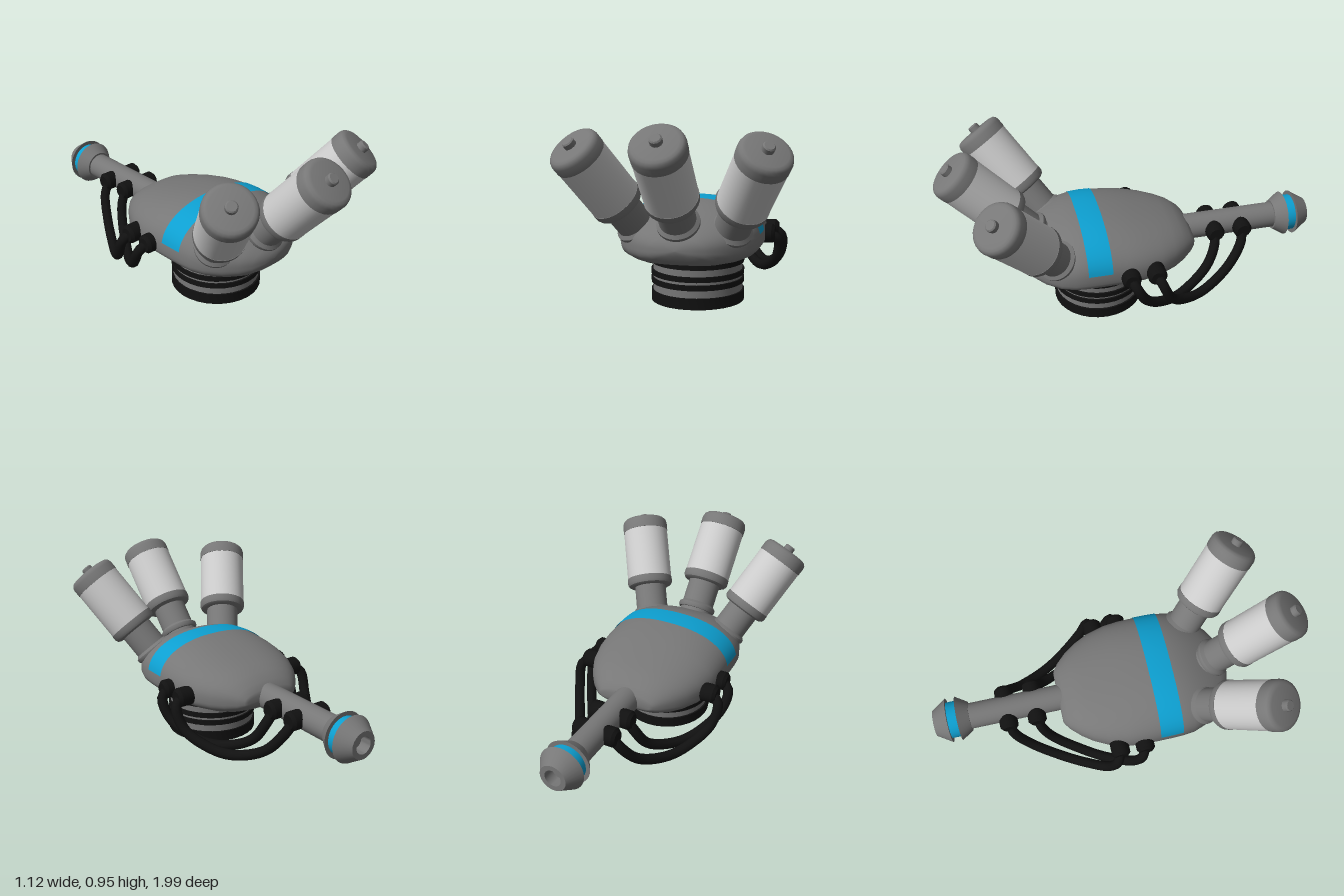
import * as THREE from 'three';
import { toCreasedNormals } from 'three/addons/utils/BufferGeometryUtils.js';

const mat = (color) => new THREE.MeshStandardMaterial({ color, side: THREE.DoubleSide });

export function createModel() {
  const model = new THREE.Group();
  const light = mat(0xcccccc), grey = mat(0x777777), black = mat(0x111111), blue = mat(0x0d9fd0);

  const add = (name, geometry, material, parent = model) => {
    const mesh = new THREE.Mesh(geometry, material);
    mesh.name = name;
    parent.add(mesh);
    return mesh;
  };
  // Turned part from [radius, height] pairs, listed bottom to top
  const turned = (profile, sides = 32) => toCreasedNormals(
    new THREE.LatheGeometry(profile.map(([r, y]) => new THREE.Vector2(r, y)), sides), 0.6);
  const disc = (r, y0, y1) => [[0, y0], [r, y0], [r, y1], [0, y1]];

  // Hull stations, front to back: [z, half width, top, bottom]
  const MID = 0.335;
  const stations = [
    [0.613, 0, 0.335, 0.335], [0.61, 0.07, 0.37, 0.31], [0.59, 0.14, 0.395, 0.28], [0.555, 0.2, 0.425, 0.257],
    [0.5, 0.265, 0.46, 0.243], [0.43, 0.32, 0.498, 0.237], [0.36, 0.346, 0.525, 0.235],
    [0.295, 0.353, 0.54, 0.235], [0.23, 0.355, 0.545, 0.235], [0.17, 0.355, 0.542, 0.235],
    [0.08, 0.355, 0.53, 0.235], [0, 0.347, 0.515, 0.235], [-0.1, 0.32, 0.492, 0.237],
    [-0.18, 0.28, 0.47, 0.243], [-0.24, 0.237, 0.45, 0.255], [-0.29, 0.19, 0.417, 0.277],
    [-0.315, 0.158, 0.385, 0.3], [-0.322, 0.14, 0.365, 0.313], [-0.323, 0, 0.335, 0.335],
  ];
  // Skin over stations: rounded top, squarer underside
  function skin(rows, t0, t1, steps, offset) {
    const closed = t1 - t0 > 6, n = closed ? steps : steps + 1;
    const pos = [], index = [];
    rows.forEach(([z, w, top, bottom], i) => {
      for (let j = 0; j < n; j++) {
        const t = t0 + (t1 - t0) * j / steps, c = Math.cos(t), s = Math.sin(t);
        const p = s >= 0 ? 2 / 2.3 : 2 / 3;
        const h = s >= 0 ? top - MID : MID - bottom;
        pos.push(Math.sign(c) * Math.abs(c) ** p * (w + offset),
          MID + Math.sign(s) * Math.abs(s) ** p * (h + offset), z);
        if (i < rows.length - 1 && j < steps) {
          const a = i * n + j, b = i * n + (j + 1) % n;
          index.push(a, a + n, b, b, a + n, b + n);
        }
      }
    });
    const g = new THREE.BufferGeometry();
    g.setAttribute('position', new THREE.Float32BufferAttribute(pos, 3));
    g.setIndex(index);
    g.computeVertexNormals();
    return g;
  }
  add('hull', skin(stations, 0, Math.PI * 2, 64, 0), grey);
  add('hullStripe', skin(stations.slice(7, 10), 0.13, Math.PI - 0.13, 40, 0.003), blue);

  // Round pedestal with black bands
  const base = new THREE.Group();
  base.name = 'pedestal';
  base.position.set(0.014, 0, 0.187);
  model.add(base);
  add('pedestalCore', turned(disc(0.231, 0.01, 0.26)), grey, base);
  [[0, 0.057], [0.096, 0.123], [0.138, 0.165], [0.2, 0.232]].forEach(([y0, y1], i) =>
    add(`pedestalBand${i + 1}`, turned(disc(0.24, y0, y1)), black, base));

  // Rear barrel and flared muzzle, turned about the z axis
  const barrel = new THREE.Group();
  barrel.name = 'barrel';
  barrel.position.y = 0.335;
  barrel.rotation.x = -Math.PI / 2;
  model.add(barrel);
  add('barrelTube', turned(disc(0.07, 0.25, 0.85)), grey, barrel);
  add('muzzleCollar', turned([[0, 0.808], [0.08, 0.808], [0.12, 0.87], [0, 0.87]]), grey, barrel);
  add('muzzleStripe', turned(disc(0.098, 0.865, 0.93)), blue, barrel);
  add('muzzleTip', turned([[0, 0.922], [0.12, 0.922], [0.07, 1], [0.044, 1], [0.044, 0.94], [0, 0.94]]), grey, barrel);

  // Three canisters leaning forward, fanned out left and right
  const lean = Math.PI / 2 - 0.838;
  function canister(name, x, y, z, yaw) {
    const g = new THREE.Group();
    g.name = name;
    g.position.set(x, y, z);
    g.rotation.set(lean, yaw, 0, 'YXZ');
    model.add(g);
    add('neck', turned(disc(0.09, -0.21, 0.02)), grey, g);
    add('neckFlange', turned([[0, -0.165], [0.1, -0.165], [0.106, -0.155], [0.106, -0.14], [0.09, -0.125]]), grey, g);
    add('lowerCap', turned([[0, 0], [0.108, 0], [0.123, 0.008], [0.13, 0.022], [0.13, 0.05], [0, 0.05]]), grey, g);
    add('canisterBody', turned(disc(0.128, 0.04, 0.345)), light, g);
    add('upperCap', turned([[0, 0.335], [0.13, 0.335], [0.13, 0.38], [0.125, 0.396], [0.115, 0.406], [0.1, 0.41], [0, 0.41]]), grey, g);
    add('capKnob', turned([[0, 0.4], [0.03, 0.4], [0.03, 0.434], [0.024, 0.44], [0, 0.44]], 12), grey, g);
  }
  canister('centreCanister', 0, 0.567, 0.635, 0);
  for (const s of [1, -1]) canister(s > 0 ? 'leftCanister' : 'rightCanister', s * 0.294, 0.528, 0.515, s * 0.61);

  // Sagging cables from the hull sides to the barrel, two per side
  const cables = [
    [[0.36, 0.335, 0.08], [0.412, 0.3, 0.06], [0.4, 0.2, 0], [0.32, 0.115, -0.14],
      [0.25, 0.105, -0.25], [0.165, 0.17, -0.39], [0.12, 0.27, -0.445], [0.08, 0.335, -0.455]],
    [[0.36, 0.335, -0.055], [0.412, 0.3, -0.075], [0.4, 0.19, -0.13], [0.33, 0.115, -0.25],
      [0.265, 0.1, -0.36], [0.18, 0.16, -0.51], [0.125, 0.27, -0.595], [0.08, 0.335, -0.61]],
  ];
  for (const s of [1, -1]) {
    const side = s > 0 ? 'left' : 'right';
    cables.forEach((points, i) => {
      const path = points.map(([x, y, z]) => new THREE.Vector3(s * x, y, z));
      add(`${side}Cable${i + 1}`, new THREE.TubeGeometry(new THREE.CatmullRomCurve3(path), 40, 0.027, 10), black);
      const plug = (name, x, z) => {
        const m = add(name, turned([[0, -0.045], [0.05, -0.045], [0.05, 0.03], [0.036, 0.045], [0, 0.045]], 16), black);
        m.position.set(s * x, 0.335, z);
        m.rotation.z = -s * Math.PI / 2;
      };
      plug(`${side}HullPlug${i + 1}`, 0.355, points[0][2]);
      plug(`${side}BarrelPlug${i + 1}`, 0.075, points[7][2]);
    });
  }
  return model;
}
